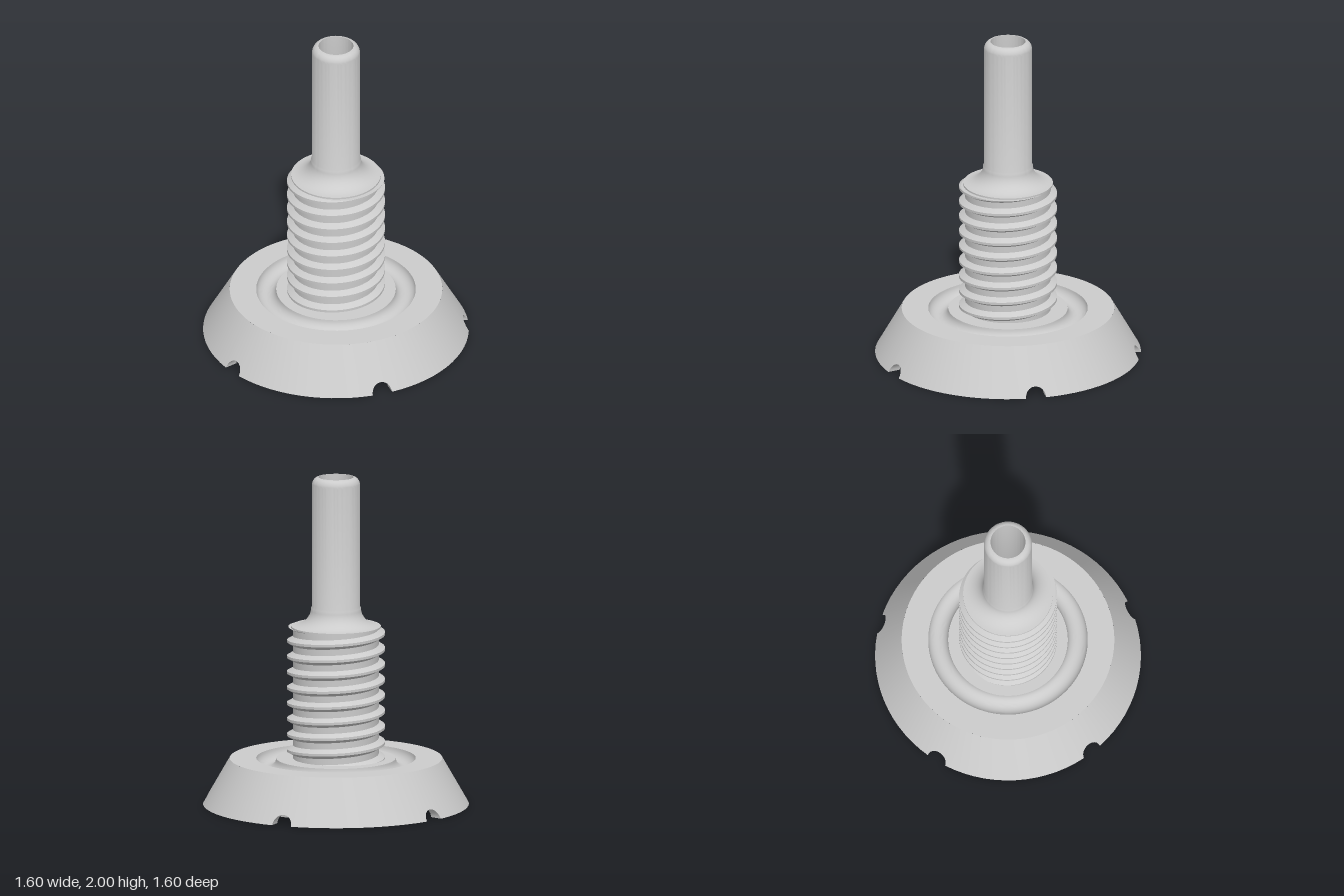
import * as THREE from 'three';
import { toCreasedNormals, mergeVertices } from 'three/addons/utils/BufferGeometryUtils.js';

const TAU = Math.PI * 2;
const material = new THREE.MeshStandardMaterial({ color: 0xcccccc });

// Surface of revolution-like strips; point(row, col) gives [radius, y, angle].
function polarGrid(rows, cols, point) {
  const pos = [], index = [];
  for (let i = 0; i < rows; i++) {
    for (let j = 0; j <= cols; j++) {
      const [r, y, a] = point(i, j);
      pos.push(r * Math.sin(a), y, r * Math.cos(a));
      if (i < rows - 1 && j < cols) {
        const p = i * (cols + 1) + j, q = p + cols + 1;
        index.push(p, p + 1, q, p + 1, q + 1, q);
      }
    }
  }
  const geo = new THREE.BufferGeometry();
  geo.setAttribute('position', new THREE.Float32BufferAttribute(pos, 3));
  geo.setIndex(index);
  return geo;
}

function part(name, geo, crease = 0.6) {
  geo.deleteAttribute('uv');
  geo.deleteAttribute('normal');
  const mesh = new THREE.Mesh(toCreasedNormals(mergeVertices(geo, 1e-5), crease), material);
  mesh.name = name;
  return mesh;
}

function lathe(name, points) {
  return part(name, new THREE.LatheGeometry(points.map(([r, y]) => new THREE.Vector2(r, y)), 96));
}

// Arc of profile points from angle a0 to a1
function arc(cx, cy, rx, ry, a0, a1, n = 10) {
  return Array.from({ length: n + 1 }, (_, i) => {
    const a = a0 + (a1 - a0) * i / n;
    return [cx + rx * Math.cos(a), cy + ry * Math.sin(a)];
  });
}

// Conical foot: grooved underside crossed by five round radial channels
function foot() {
  const CH = 0.062, SLOPE = 0.16 / 0.28;
  const rows = [
    [0.2, 0],
    ...arc(0.38, 0, 0.1, 0.1, Math.PI, 0, 20),
    ...arc(0.63, 0, 0.09, 0.09, Math.PI, 0, 20),
  ];
  const inChannel = 14, between = 14, per = inChannel + between;
  const last = rows.length + 2;
  return polarGrid(rows.length + 3, per * 5, (i, j) => {
    const sector = Math.floor(j / per), k = j % per;
    const t = k <= inChannel ? (k / inChannel - 0.5) * Math.PI : Math.PI / 2;
    const d = CH * Math.sin(t);
    const h = CH * Math.max(0, Math.cos(t));
    const edge = 0.8 - h * SLOPE;
    const atBore = i === 0, atRim = i >= last - 1;
    const [pr, py] = atBore ? [0.2, 0] : atRim ? [edge, 0] : rows[i - 1];
    let a = Math.asin(d / pr);
    if (k > inChannel) {
      const f = (k - inChannel) / between;
      a = a * (1 - f) + (TAU / 5 - a) * f;
    }
    a += sector * TAU / 5;
    if (atBore) return [0.2, 0.28, a];
    if (i === last) return [0.64, 0.28, a];
    return [pr, Math.max(py, h), a];
  });
}

// Right-handed helical thread, trimmed flat at both ends
function thread() {
  const y0 = 0.28, y1 = 1.08, pitch = 0.0955, phase = 1.053;
  const root = 0.258, crest = 0.295;
  const stops = [-0.5, -0.3, -0.08, 0.08, 0.3];
  const turns = 11, n = turns * stops.length;
  return polarGrid(n + 1, 120, (i, j) => {
    const a = j / 120 * TAU;
    if (i === n) return [0.24, y1, a];
    const k = Math.floor(i / stops.length) - turns + 2;
    const raw = phase + pitch * (k + stops[i % stops.length] + a / TAU);
    const y = Math.min(y1, Math.max(y0, raw));
    const p = (y - phase) / pitch - a / TAU;
    const off = Math.abs(p - Math.round(p));
    const f = Math.min(1, Math.max(0, (0.3 - off) / 0.22));
    return [root + (crest - root) * f, y, a];
  });
}

export function createModel() {
  const model = new THREE.Group();

  model.add(part('foot', foot()));

  // Flat top of the foot with a round ring groove
  model.add(lathe('footTop', [
    [0.64, 0.28],
    ...arc(0.42, 0.28, 0.06, 0.06, 0, -Math.PI, 16),
    [0.2, 0.28],
  ]));

  model.add(part('thread', thread(), 0.4));

  // Flared neck, tube with rounded lip, and the bore back down
  model.add(lathe('stemTube', [
    [0.24, 1.08], [0.27, 1.08],
    ...arc(0.27, 1.2, 0.12, 0.11, -Math.PI / 2, -Math.PI, 10),
    [0.145, 1.21],
    ...arc(0.105, 1.95, 0.04, 0.05, 0, Math.PI / 2, 8),
    [0.105, 1.2], [0.2, 1.05], [0.2, 0.28],
  ]));

  return model;
}
